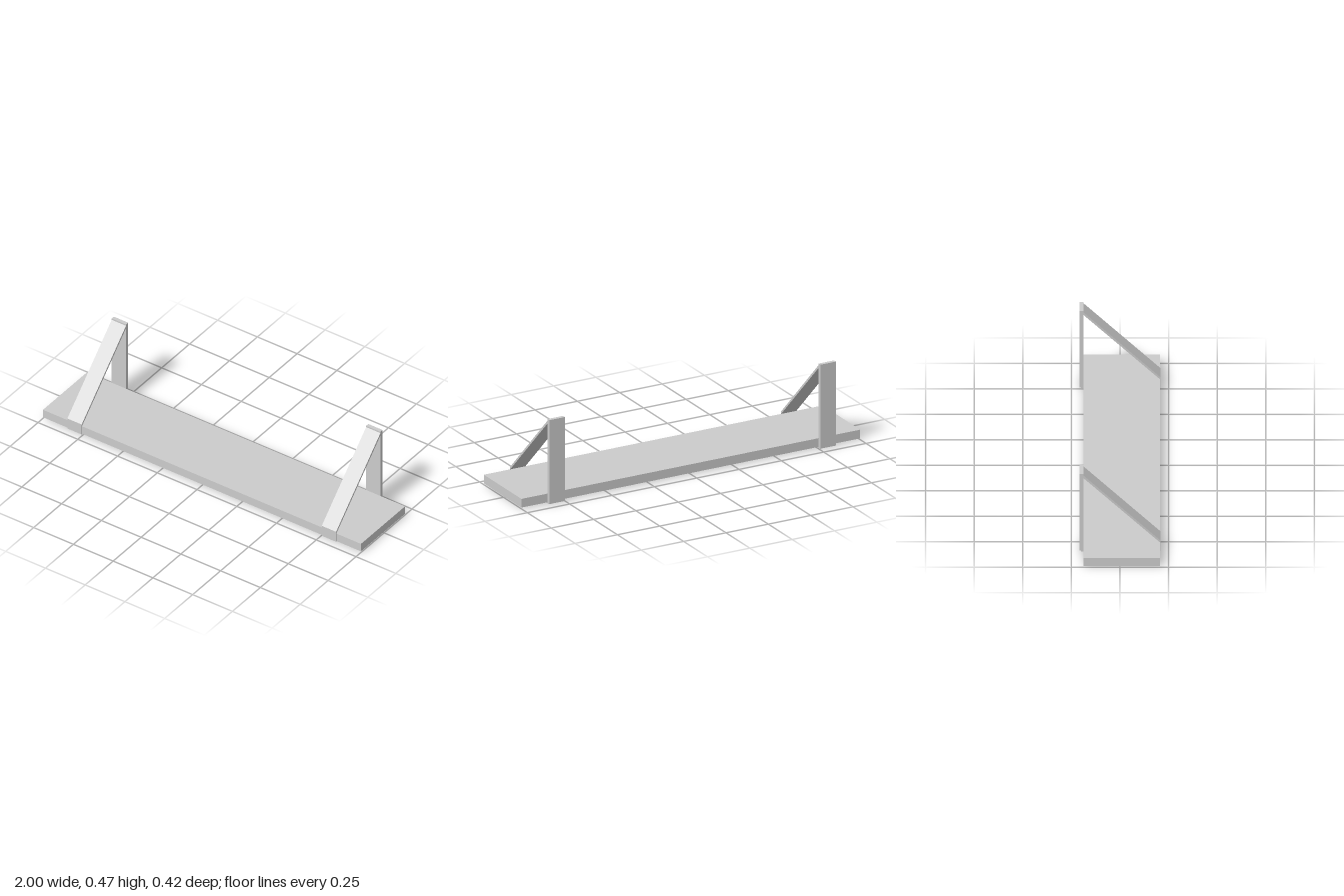
import * as THREE from 'three';

const WIDTH = 0.09; // bracket width

export function createModel() {
  const model = new THREE.Group();
  model.name = 'wallShelf';
  const material = new THREE.MeshStandardMaterial({ color: 0xcccccc, flatShading: true });

  const add = (parent, name, geometry) => {
    const mesh = new THREE.Mesh(geometry, material);
    mesh.name = name;
    parent.add(mesh);
    return mesh;
  };

  // Board
  add(model, 'shelfBoard', new THREE.BoxGeometry(2, 0.048, 0.394)).position.set(0, 0.031, 0.009);

  // Strap profile in (z, y): diagonal brace, front lip and thin sheet under the board
  const profile = new THREE.Shape([
    [-0.188, 0.459], [-0.188, 0.443], [0.2055, 0.055], [0.2055, 0.007],
    [-0.2, 0.005], [-0.2, 0], [0.208, 0.003], [0.208, 0.067],
  ].map(([z, y]) => new THREE.Vector2(z, y)));
  const strap = new THREE.ExtrudeGeometry(profile, { depth: WIDTH, bevelEnabled: false });
  strap.translate(0, 0, -WIDTH / 2).rotateY(-Math.PI / 2);

  // Upright plate behind the board
  const upright = new THREE.BoxGeometry(WIDTH, 0.462, 0.02);

  for (const [name, x] of [['leftBracket', 0.8], ['rightBracket', -0.8]]) {
    const bracket = new THREE.Group();
    bracket.name = name;
    bracket.position.x = x;
    add(bracket, 'braceStrap', strap);
    add(bracket, 'wallUpright', upright).position.set(0, 0.236, -0.198);
    model.add(bracket);
  }
  return model;
}
